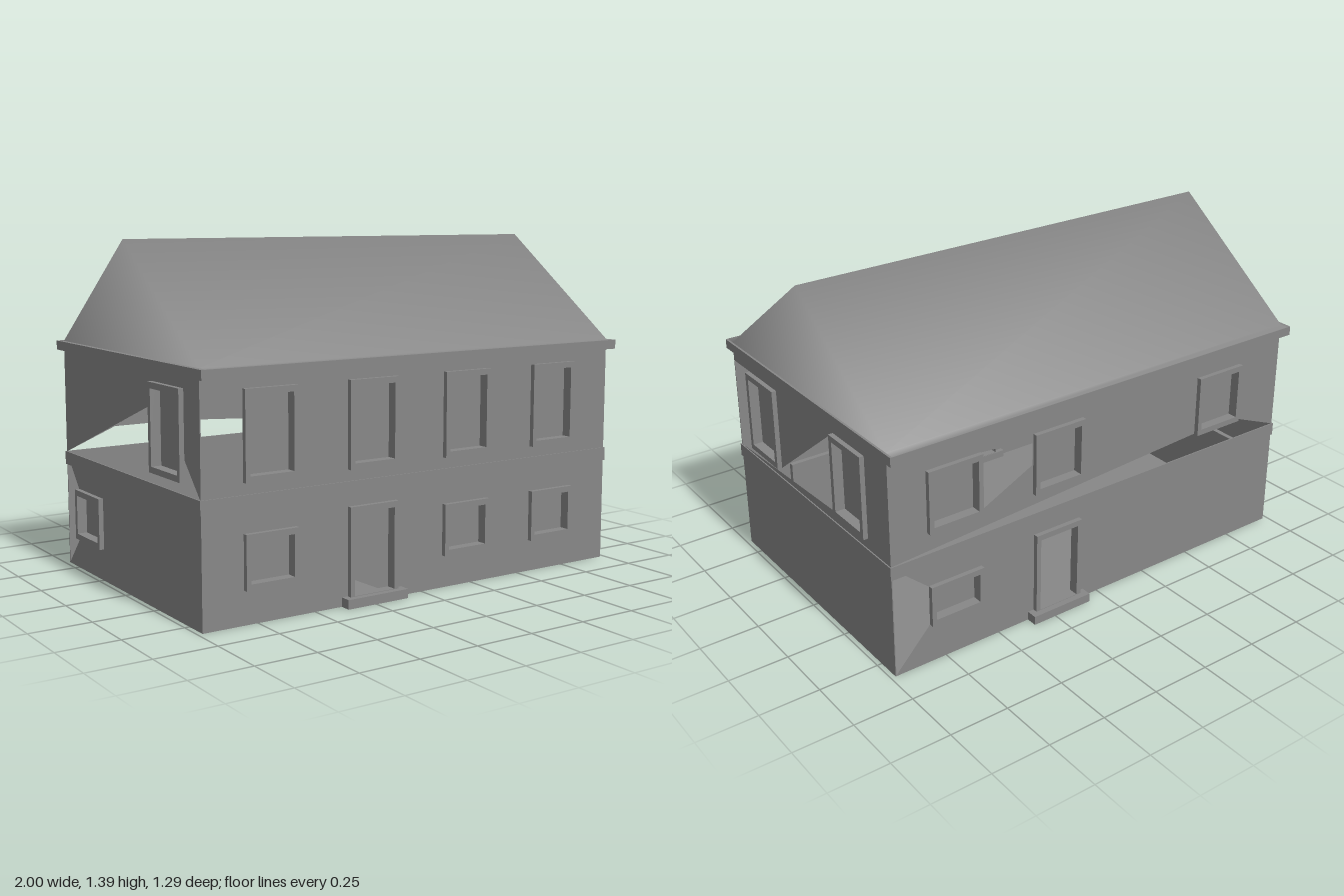
import * as THREE from 'three';

const stone = new THREE.MeshStandardMaterial({ color: 0x878787, side: THREE.DoubleSide });
const HX = 0.98, HZ = 0.6, TOP = 0.92, FLOOR = 0.485;
const RIM = 0.02, RECESS = 0.022;

function add(parent, name, geometry, x = 0, y = 0, z = 0) {
  const mesh = new THREE.Mesh(geometry, stone);
  mesh.name = name;
  mesh.position.set(x, y, z);
  parent.add(mesh);
  return mesh;
}

const polygon = (points) => points.map(([x, y]) => new THREE.Vector2(x, y));
const rect = ([x0, x1, y0, y1]) => polygon([[x0, y0], [x1, y0], [x1, y1], [x0, y1]]);

// Flat rectangular ring between two rectangles, extruded outwards from z = 0
function ring(outer, inner, depth) {
  const shape = new THREE.Shape(rect(outer));
  shape.holes.push(new THREE.Path(rect(inner)));
  return new THREE.ExtrudeGeometry(shape, { depth, bevelEnabled: false });
}

// Clear opening inside a surround; doors have only a sliver of sill
const innerRect = ({ u, width, y0, y1, door }) =>
  [u - width / 2 + RIM, u + width / 2 - RIM, y0 + (door ? 0.004 : RIM + 0.004), y1 - RIM - 0.004];

// Raised surround, lining that runs behind the wall, and a recessed panel
function addOpening(side, opening) {
  const { u, width, y0, y1, door, open, chip = 0 } = opening;
  const group = new THREE.Group();
  group.name = door ? 'door' : 'window';
  const inner = innerRect(opening);
  const [l, r, b, t] = inner;
  add(group, 'surround', ring([u - width / 2, u + width / 2, y0, y1], inner, 0.02));
  add(group, 'lining', ring([l - 0.003, r + 0.003, b - 0.003, t + 0.003], inner, RECESS), 0, 0, -RECESS);
  if (!open) {
    // The panel may miss its lower corner
    const outline = chip ? polygon([[l, b + chip], [l + chip * 2.2, b], [r, b], [r, t], [l, t]]) : rect(inner);
    add(group, 'panel', new THREE.ShapeGeometry(new THREE.Shape(outline)), 0, 0, -RECESS);
  }
  if (door) add(group, 'doorStep', new THREE.BoxGeometry(0.28, 0.037, 0.07), u, 0.0185, 0.011);
  side.add(group);
}

// One facade in its own plane: u runs to the right as seen from outside
function addSide(house, { name, angle, half, distance, gaps, openings }) {
  const side = new THREE.Group();
  side.name = name;
  side.rotation.y = angle;
  side.position.set(Math.sin(angle) * distance, 0, Math.cos(angle) * distance);
  const shape = new THREE.Shape(rect([-half, half, 0, TOP]));
  const e = half - 0.004;
  for (const gap of gaps) {
    shape.holes.push(new THREE.Path(polygon(gap.map(([u, y]) =>
      [THREE.MathUtils.clamp(u, -e, e), Math.max(y, 0.004)]))));
  }
  for (const opening of openings) {
    shape.holes.push(new THREE.Path(rect(innerRect(opening))));
    addOpening(side, opening);
  }
  add(side, 'wall', new THREE.ShapeGeometry(shape));
  // Thin string course between the storeys
  add(side, 'stringCourse', new THREE.BoxGeometry(half * 2 + 0.01, FLOOR - 0.43, 0.005),
    0, (FLOOR + 0.43) / 2, 0.0025);
  house.add(side);
}

const windowAt = (u, width, y0, y1) => ({ u, width, y0, y1 });
const doorAt = (u, extra) => ({ u, width: 0.225, y0: 0.035, y1: 0.387, door: true, ...extra });

// Gabled roof with a flat skirt over the eaves and normals blended across all edges
function roofGeometry() {
  const positions = [], normals = [];
  for (const s of [-1, 1]) {
    const x = s * HX;
    positions.push(x, 0.955, 0.647, x, 0.955, HZ, x, 1.39, 0, x, 0.955, -HZ, x, 0.955, -0.641);
    for (const n of [[0, 1, 0.3], [0.23, 0.81, 0.587], [0.15, 1, 0], [0.23, 0.81, -0.587], [0, 1, -0.3]]) {
      normals.push(...new THREE.Vector3(s * n[0], n[1], n[2]).normalize().toArray());
    }
  }
  const index = [1, 2, 3, 6, 8, 7];
  for (let i = 0; i < 4; i++) index.push(i, i + 5, i + 6, i, i + 6, i + 1);
  const roof = new THREE.BufferGeometry();
  roof.setAttribute('position', new THREE.Float32BufferAttribute(positions, 3));
  roof.setAttribute('normal', new THREE.Float32BufferAttribute(normals, 3));
  roof.setIndex(index);
  return roof;
}

export function createModel() {
  const house = new THREE.Group();
  house.name = 'house';

  const columns = [-0.695, -0.24, 0.215, 0.67];
  addSide(house, {
    name: 'frontSide', angle: 0, half: HX, distance: HZ,
    gaps: [[[-HX, 0.87], [-0.805, 0.84], [-0.805, 0.65], [-HX, FLOOR]]],
    openings: [
      ...columns.map((u) => windowAt(u, 0.225, 0.53, 0.872)),
      ...columns.filter((u) => u !== -0.24).map((u) => windowAt(u, 0.225, 0.132, 0.342)),
      doorAt(-0.24, { chip: 0.062 }),
    ],
  });

  addSide(house, {
    name: 'backSide', angle: Math.PI, half: HX, distance: HZ,
    gaps: [
      [[-HX, FLOOR], [0.5, 0.575], [0.75, 0.575], [HX, FLOOR]],
      [[-0.585, 0.83], [-0.34, 0.81], [-0.34, 0.7], [-0.585, 0.58]],
      [[-HX, 0.475], [-0.82, 0.34], [-0.82, 0.17], [-HX, 0]],
    ],
    openings: [
      ...[-0.7, -0.215, 0.63].map((u) => windowAt(u, 0.24, 0.572, 0.832)),
      windowAt(-0.7, 0.24, 0.17, 0.342),
      doorAt(-0.215, { open: true }),
    ],
  });

  addSide(house, {
    name: 'leftSide', angle: Math.PI / 2, half: HZ, distance: HX,
    gaps: [[[-HZ, FLOOR], [-HZ, 0.875], [-0.455, 0.875], [-0.455, 0.53],
      [-0.23, 0.53], [0.22, 0.875], [0.22, 0.53]]],
    openings: [windowAt(-0.345, 0.23, 0.53, 0.875), windowAt(0.332, 0.224, 0.53, 0.875)],
  });

  addSide(house, {
    name: 'rightSide', angle: -Math.PI / 2, half: HZ, distance: HX,
    gaps: [
      [[-HZ, FLOOR], [0.23, 0.785], [0.23, 0.53], [0.48, 0.53], [0.48, 0.612], [HZ, FLOOR]],
      [[-HZ, 0.475], [-0.48, 0.34], [-0.48, 0.13], [-HZ, 0]],
    ],
    openings: [windowAt(0.355, 0.25, 0.53, 0.872), windowAt(-0.36, 0.24, 0.132, 0.342)],
  });

  // Ground slab, eaves and roof
  add(house, 'base', new THREE.BoxGeometry(HX * 2, 0.004, HZ * 2), 0, 0.002, 0);
  add(house, 'eaves', new THREE.BoxGeometry(1.984, 0.038, 1.288), -0.004, 0.935, 0.003);
  add(house, 'roof', roofGeometry());

  return house;
}
